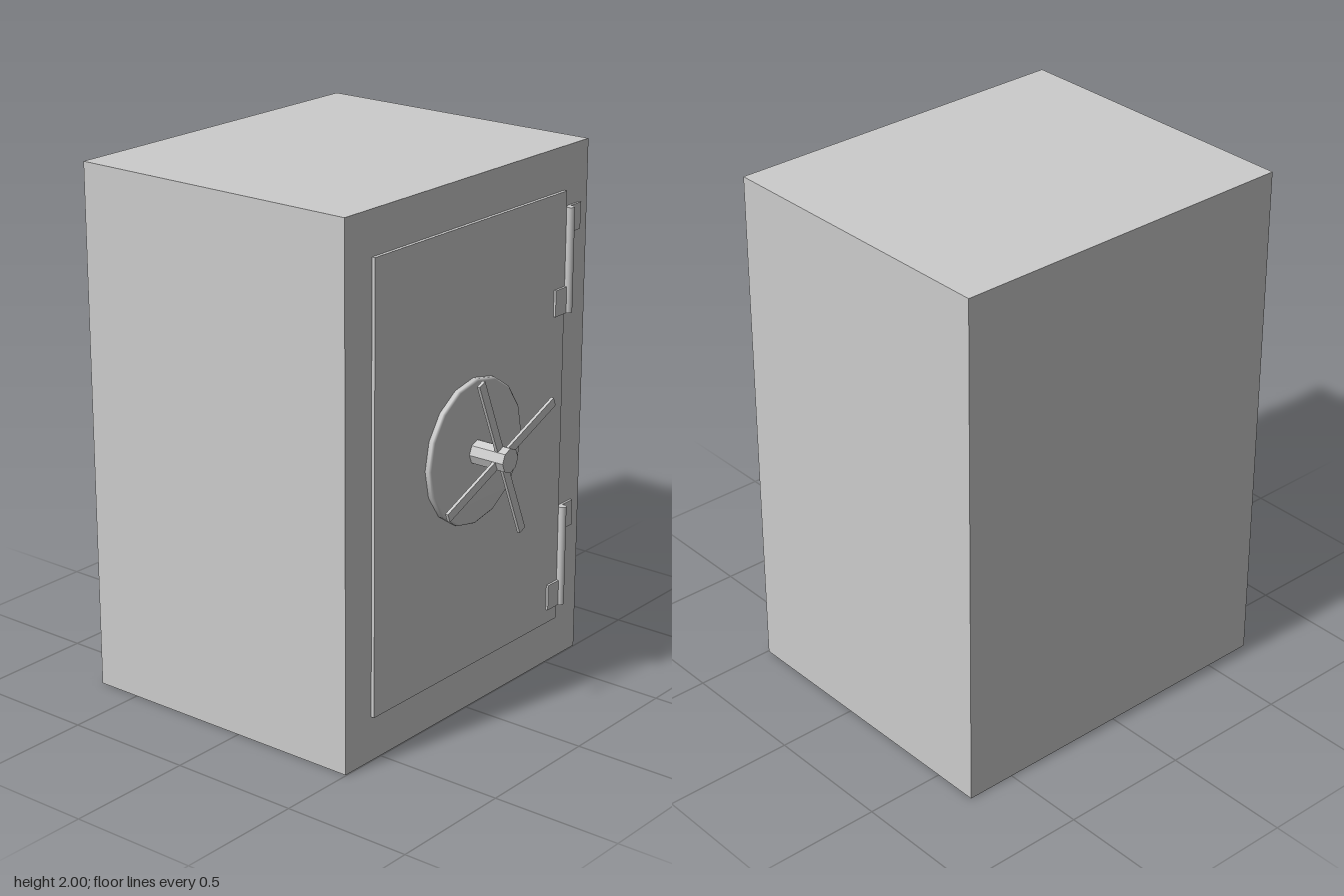
import * as THREE from 'three';

const material = new THREE.MeshStandardMaterial({ color: 0xcccccc });
const flatMaterial = new THREE.MeshStandardMaterial({ color: 0xcccccc, flatShading: true });

function add(parent, name, geometry, mat = material) {
  const mesh = new THREE.Mesh(geometry, mat);
  mesh.name = name;
  parent.add(mesh);
  return mesh;
}

// Box given by its lower and upper corners
function box(parent, name, [x0, y0, z0], [x1, y1, z1]) {
  const mesh = add(parent, name, new THREE.BoxGeometry(x1 - x0, y1 - y0, z1 - z0));
  mesh.position.set((x0 + x1) / 2, (y0 + y1) / 2, (z0 + z1) / 2);
  return mesh;
}

// Hinge: a pin with one leaf on the frame and one on the door
function hinge(y) {
  const group = new THREE.Group();
  group.name = 'hinge';
  const height = 0.395;
  const pin = add(group, 'hingePin', new THREE.CylinderGeometry(0.016, 0.016, height, 12));
  pin.position.set(0.563, height / 2, 0.516);
  box(group, 'frameLeaf', [0.563, height - 0.1, 0.495], [0.642, height, 0.506]);
  box(group, 'doorLeaf', [0.481, 0, 0.505], [0.563, 0.1, 0.519]);
  group.position.y = y;
  return group;
}

// Handle: bevelled disc, octagonal hub and two crossed bars
function handle() {
  const group = new THREE.Group();
  group.name = 'handle';
  const profile = [[0.272, 0], [0.272, 0.018], [0.264, 0.025], [0, 0.025]]
    .map(([r, h]) => new THREE.Vector2(r, h));
  const disc = add(group, 'handleDisc', new THREE.LatheGeometry(profile, 16));
  disc.rotation.x = Math.PI / 2;
  disc.position.z = 0.507;

  const hub = add(group, 'handleHub', new THREE.CylinderGeometry(0.046, 0.046, 0.146, 8), flatMaterial);
  hub.rotation.x = Math.PI / 2;
  hub.position.z = 0.603;

  for (let i = 0; i < 2; i++) {
    const bar = add(group, 'handleBar', new THREE.BoxGeometry(0.67, 0.034, 0.012));
    bar.position.z = 0.638;
    bar.rotation.z = Math.PI / 8 + i * Math.PI / 2;
  }
  group.position.y = 1.005;
  return group;
}

export function createModel() {
  const model = new THREE.Group();
  model.name = 'safe';
  box(model, 'body', [-0.692, 0, -0.676], [0.692, 2, 0.497]);
  box(model, 'door', [-0.551, 0.17, 0.48], [0.547, 1.837, 0.51]);
  model.add(handle(), hinge(0.226), hinge(1.381));
  return model;
}
